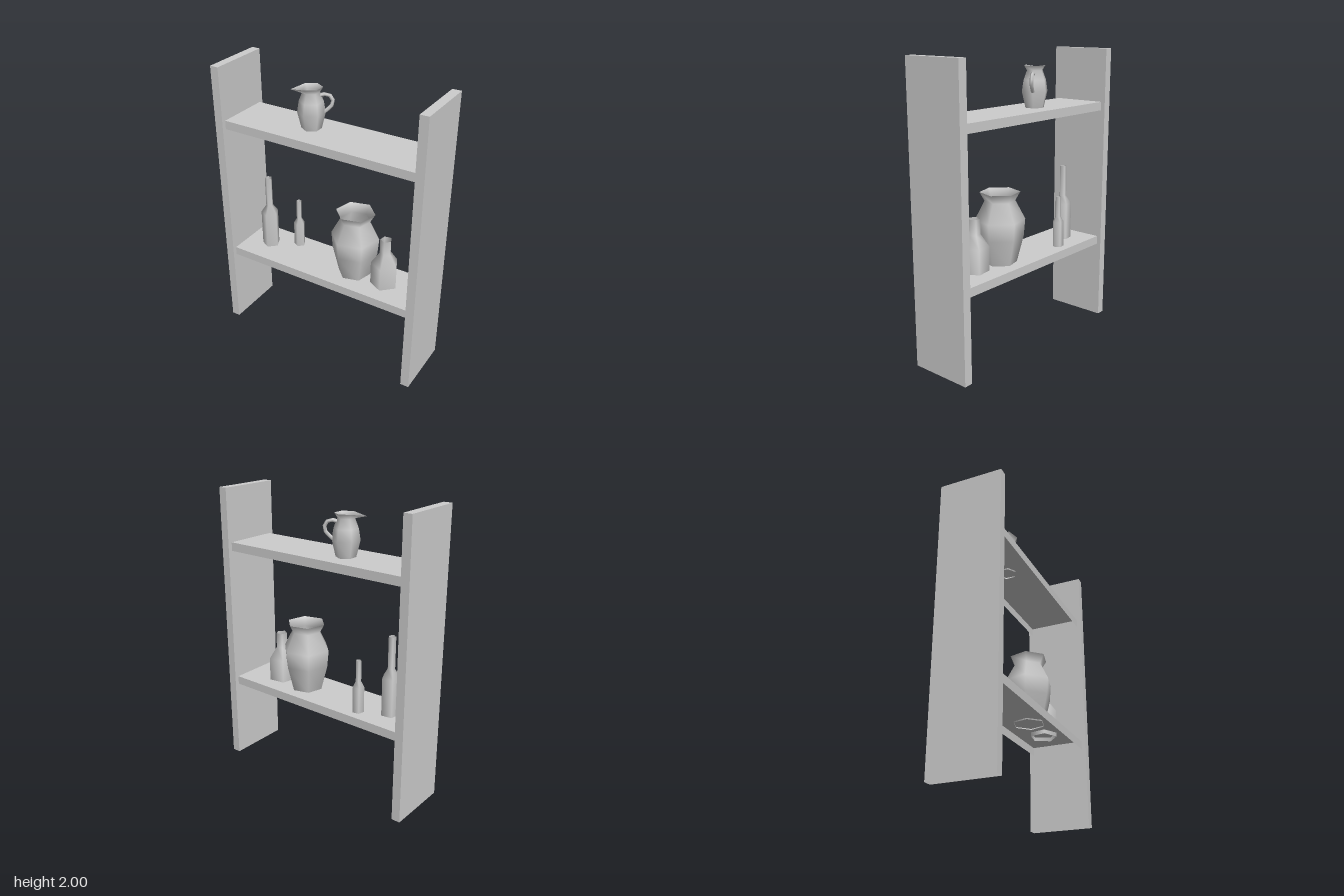
import * as THREE from 'three';

const grey = new THREE.MeshStandardMaterial({ color: 0xcccccc, side: THREE.DoubleSide });
grey.name = 'plain grey';

function add(parent, name, geometry, x = 0, y = 0, z = 0) {
  const mesh = new THREE.Mesh(geometry, grey);
  mesh.name = name;
  mesh.position.set(x, y, z);
  parent.add(mesh);
  return mesh;
}

// Board with its underside left open
function board(w, h, d) {
  const g = new THREE.BoxGeometry(w, h, d);
  const index = Array.from(g.index.array);
  index.splice(18, 6);
  g.setIndex(index);
  g.clearGroups();
  return g;
}

// Low-sided turned vessel; profile is [radius, height] from the foot up
function vessel(profile, sides, degrees) {
  const points = profile.map(([r, y]) => new THREE.Vector2(r, y));
  return new THREE.LatheGeometry(points, sides, THREE.MathUtils.degToRad(degrees));
}

export function createModel() {
  const model = new THREE.Group();
  model.name = 'shelfWithVessels';

  // Upright side panels
  for (const [name, s] of [['leftPanel', 1], ['rightPanel', -1]]) {
    add(model, name, board(0.06, 2, 0.44), s * 0.73, 1, 0);
  }

  // Shelves
  add(model, 'lowerShelf', board(1.4, 0.06, 0.38), 0, 0.59, 0);
  add(model, 'upperShelf', board(1.4, 0.06, 0.38), 0, 1.596, 0);

  // Five-sided bottles, feet sunk slightly into the shelf
  const bottles = [
    { name: 'tallBottle', x: -0.514, z: 0, r: 0.063, neck: 0.0255, shoulder: 0.885, neckY: 0.944, top: 1.165 },
    { name: 'smallBottle', x: -0.328, z: -0.1, r: 0.0405, neck: 0.019, shoulder: 0.8, neckY: 0.84, top: 0.985 },
    { name: 'squatBottle', x: 0.43, z: 0, r: 0.096, neck: 0.04, shoulder: 0.785, neckY: 0.868, top: 0.973 },
  ];
  for (const b of bottles) {
    const profile = [[b.r, 0.592], [b.r, b.shoulder], [b.neck, b.neckY], [b.neck, b.top]];
    add(model, b.name, vessel(profile, 5, 80), b.x, 0, b.z);
  }

  // Six-sided vase
  const vaseProfile = [[0.11, 0.612], [0.158, 0.8], [0.168, 0.918], [0.102, 1.045], [0.135, 1.105]];
  add(model, 'vase', vessel(vaseProfile, 6, 45), 0.19, 0, -0.008);

  // Jug with one rim corner pulled out into a spout
  const jug = new THREE.Group();
  jug.name = 'jug';
  jug.position.set(-0.155, 0, -0.018);
  model.add(jug);
  const jugProfile = [[0.064, 1.617], [0.092, 1.735], [0.08, 1.81], [0.056, 1.873], [0.076, 1.905]];
  const body = vessel(jugProfile, 6, 0);
  const spoutCorner = 5 * jugProfile.length + jugProfile.length - 1;
  body.attributes.position.setXYZ(spoutCorner, -0.113, 1.887, 0.065);
  add(jug, 'jugBody', body);

  // Handle opposite the spout; points are [distance out, height]
  const path = [[0.05, 1.848], [0.105, 1.858], [0.136, 1.82], [0.13, 1.785], [0.078, 1.735]]
    .map(([d, y]) => new THREE.Vector3(d * 0.866, y, -d * 0.5));
  add(jug, 'jugHandle', new THREE.TubeGeometry(new THREE.CatmullRomCurve3(path), 6, 0.013, 5));

  return model;
}
